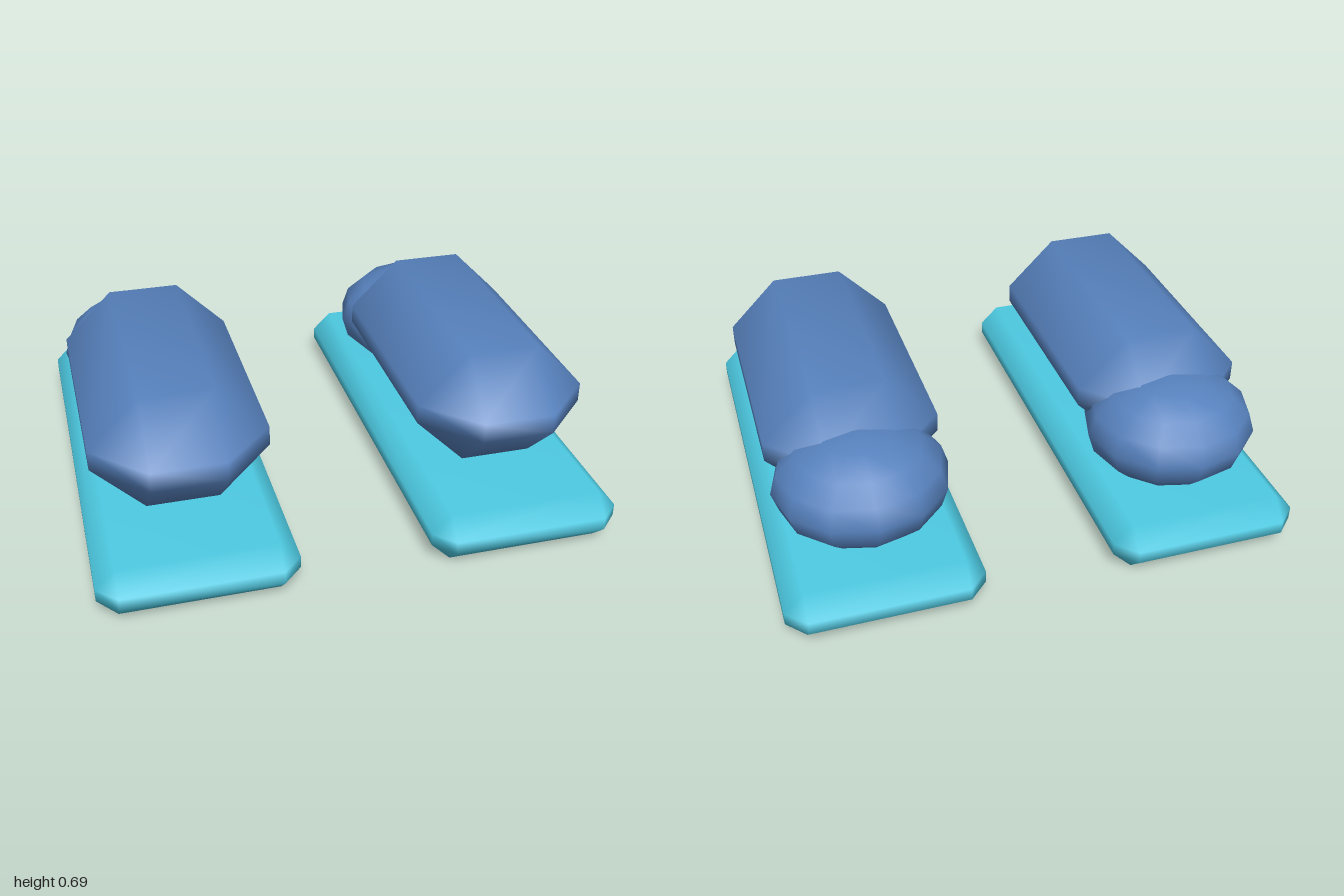
import * as THREE from 'three';
import { ConvexGeometry } from 'three/addons/geometries/ConvexGeometry.js';
import { mergeVertices } from 'three/addons/utils/BufferGeometryUtils.js';

// Box with every edge cut at 45 degrees and smooth shading across the cuts
function chamferedBox(width, height, depth, cut) {
  const half = [width / 2, height / 2, depth / 2];
  const points = [];
  for (const sx of [-1, 1]) for (const sy of [-1, 1]) for (const sz of [-1, 1]) {
    for (let axis = 0; axis < 3; axis++) {
      const p = [sx, sy, sz].map((s, i) => s * (half[i] - (i === axis ? 0 : cut)));
      points.push(new THREE.Vector3(...p));
    }
  }
  const hull = new ConvexGeometry(points);
  hull.deleteAttribute('normal');
  const geometry = mergeVertices(hull, 1e-4);
  geometry.computeVertexNormals();
  return geometry;
}

export function createModel() {
  const soleColour = new THREE.MeshStandardMaterial({ color: 0x4dcae2 });
  soleColour.name = 'cyan';
  const upperColour = new THREE.MeshStandardMaterial({ color: 0x5782be });
  upperColour.name = 'blue';

  const soleGeometry = chamferedBox(0.746, 0.2, 1.866, 0.075);
  const upperGeometry = chamferedBox(0.672, 0.47, 1.275, 0.196);
  const heelGeometry = new THREE.SphereGeometry(1, 12, 8).scale(0.34, 0.213, 0.325);

  const model = new THREE.Group();
  model.name = 'pairOfShoes';

  for (const [name, x] of [['leftShoe', 0.627], ['rightShoe', -0.627]]) {
    const shoe = new THREE.Group();
    shoe.name = name;
    shoe.position.x = x;
    const add = (part, geometry, material, y, z) => {
      const mesh = new THREE.Mesh(geometry, material);
      mesh.name = part;
      mesh.position.set(0, y, z);
      shoe.add(mesh);
    };
    add('sole', soleGeometry, soleColour, 0.1, 0);
    add('upper', upperGeometry, upperColour, 0.456, 0.1);
    add('heel', heelGeometry, upperColour, 0.36, -0.475);
    model.add(shoe);
  }
  return model;
}
